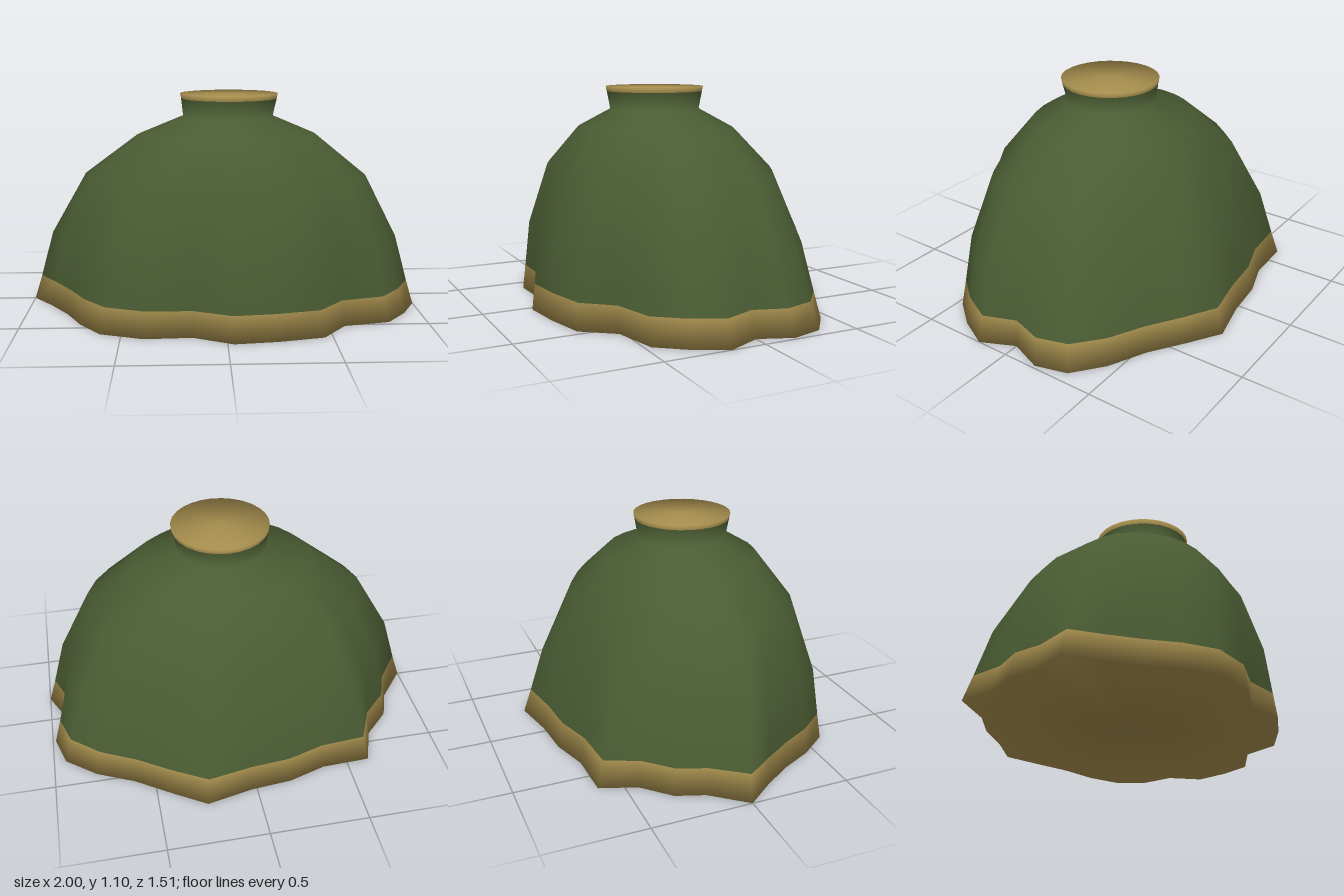
import * as THREE from 'three';

// Wavy hem outline as x, z pairs, running from the left side (+x) round the front (+z)
const HEM = [
  0.92, 0, 1, 0.17, 0.92, 0.33, 0.81, 0.47, 0.58, 0.52, 0.46, 0.68, 0.24, 0.73,
  0.03, 0.755, -0.16, 0.66, -0.39, 0.67, -0.6, 0.595, -0.71, 0.45, -0.79, 0.29, -0.89, 0.14,
  -1, 0, -0.86, -0.17, -0.81, -0.31, -0.68, -0.44, -0.615, -0.62, -0.37, -0.63, -0.18, -0.69,
  0.03, -0.71, 0.26, -0.76, 0.42, -0.66, 0.6, -0.54, 0.79, -0.45, 0.94, -0.33, 0.985, -0.17,
];
const N = HEM.length / 2;

// Cross-sections: height, half width, half depth, centre x, centre z, waviness
const RINGS = [
  [0, 1, 0.755, 0, 0, 1],
  [0.13, 0.961, 0.728, 0.002, 0.011, 0.87],
  [0.37, 0.895, 0.68, 0.005, 0.03, 0.63],
  [0.69, 0.7225, 0.555, 0.0175, 0.055, 0.3],
  [0.89, 0.46, 0.39, 0.025, 0.07, 0.1],
  [0.985, 0.23, 0.228, 0.03, 0.075, 0],
  [1.075, 0.245, 0.245, 0.035, 0.078, 0],
  [1.1, 0.25, 0.25, 0.035, 0.078, 0],
];
const TOP = RINGS.length - 1;

export function createModel() {
  const group = new THREE.Group();
  const green = new THREE.MeshStandardMaterial({ color: 0x4a5c33 });
  green.name = 'olive cloth';
  const tan = new THREE.MeshStandardMaterial({ color: 0xa58d4d });
  tan.name = 'tan trim';

  // Rings that fade from the wavy hem to a round neck
  const positions = [];
  for (const [y, a, b, cx, cz, wave] of RINGS) {
    for (let k = 0; k < N; k++) {
      const t = (k / N) * Math.PI * 2;
      positions.push(
        cx + a * THREE.MathUtils.lerp(Math.cos(t), HEM[2 * k], wave),
        y,
        cz + b * THREE.MathUtils.lerp(Math.sin(t), HEM[2 * k + 1] / 0.755, wave),
      );
    }
  }
  // Middle points of the bottom and neck caps
  const bottomCentre = RINGS.length * N;
  const neckCentre = bottomCentre + 1;
  positions.push(0, 0, 0, RINGS[TOP][3], RINGS[TOP][0], RINGS[TOP][4]);

  // Wall between two rings
  const wall = (from, to) => {
    const index = [];
    for (let i = from; i < to; i++) {
      for (let k = 0; k < N; k++) {
        const a = i * N + k, b = i * N + ((k + 1) % N);
        index.push(a, a + N, b, b, a + N, b + N);
      }
    }
    return index;
  };
  // Cap over one ring
  const cap = (ring, centre, up) => {
    const index = [];
    for (let k = 0; k < N; k++) {
      const a = ring * N + k, b = ring * N + ((k + 1) % N);
      index.push(centre, up ? b : a, up ? a : b);
    }
    return index;
  };

  // Smooth normals over the whole surface, rolling softly over both rims
  const shell = new THREE.BufferGeometry();
  shell.setAttribute('position', new THREE.Float32BufferAttribute(positions, 3));
  shell.setIndex(wall(0, TOP));
  shell.computeVertexNormals();
  const normal = shell.attributes.normal;
  const v = new THREE.Vector3();
  for (let k = 0; k < N; k++) {
    for (const [i, dir] of [[k, -1], [TOP * N + k, 1]]) {
      v.fromBufferAttribute(normal, i);
      v.y += dir;
      v.normalize();
      normal.setXYZ(i, v.x, v.y, v.z);
    }
  }
  normal.setXYZ(bottomCentre, 0, -1, 0);
  normal.setXYZ(neckCentre, 0, 1, 0);

  // Parts share the shell's points and normals
  const addPart = (name, index, material) => {
    const geometry = new THREE.BufferGeometry();
    geometry.setAttribute('position', shell.attributes.position);
    geometry.setAttribute('normal', normal);
    geometry.setIndex(index);
    const mesh = new THREE.Mesh(geometry, material);
    mesh.name = name;
    group.add(mesh);
  };
  addPart('hemTrim', wall(0, 1), tan);
  addPart('cloakBody', wall(1, TOP - 1), green);
  addPart('collarTrim', wall(TOP - 1, TOP), tan);
  addPart('neckLining', cap(TOP, neckCentre, true), tan);
  addPart('underside', cap(0, bottomCentre, false), tan);

  group.name = 'cloak';
  return group;
}
